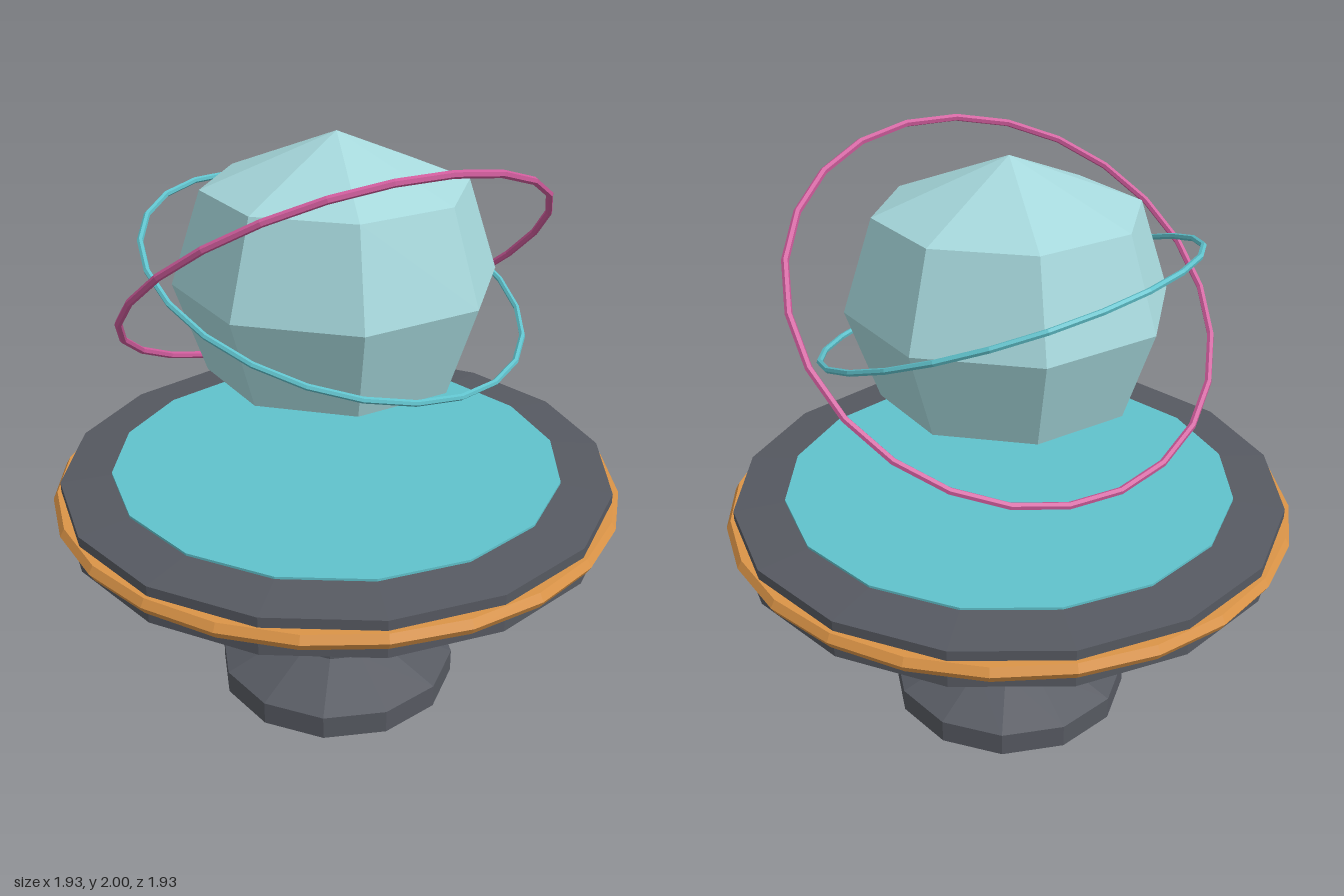
import * as THREE from 'three';

const mat = (name, color) => {
  const m = new THREE.MeshStandardMaterial({ color, flatShading: true });
  m.name = name;
  return m;
};

export function createModel() {
  const group = new THREE.Group();
  const darkMetal = mat('dark metal', 0x565961);
  const orange = mat('orange trim', 0xdb9447);
  const teal = mat('teal glow', 0x60c2cc);
  const paleTeal = mat('pale teal', 0xa6d8dc);
  const pink = mat('pink ring', 0xcf5c9c);

  const add = (name, geometry, material) => {
    const mesh = new THREE.Mesh(geometry, material);
    mesh.name = name;
    group.add(mesh);
    return mesh;
  };
  // Faceted solid of revolution; profile runs from bottom to top
  const lathe = (name, profile, sides, material) =>
    add(name, new THREE.LatheGeometry(profile.map(([r, y]) => new THREE.Vector2(r, y)), sides), material);
  const ring = (name, radius, tube, radial, y, rotX, rotY, material) => {
    const mesh = add(name, new THREE.TorusGeometry(radius, tube, radial, 24), material);
    mesh.position.y = y;
    mesh.rotation.set(rotX, rotY, 0);
  };

  // Foot and column
  lathe('pedestal', [[0, 0], [0.427, 0], [0.427, 0.085], [0.21, 0.172], [0.21, 0.65]], 12, darkMetal);

  // Table top with sloping underside
  lathe('tableTop', [[0, 0.64], [0.21, 0.64], [0.937, 0.727], [0.937, 0.855], [0.765, 0.871], [0, 0.871]], 16, darkMetal);
  lathe('tableInlay', [[0.765, 0.87], [0.765, 0.879], [0, 0.879]], 16, teal);
  ring('tableTrim', 0.935, 0.03, 6, 0.795, Math.PI / 2, 0, orange);

  // Floating faceted globe
  const centre = 1.535;
  lathe('globe', [[0, -0.465], [0.425, -0.298], [0.525, 0], [0.425, 0.298], [0, 0.465]]
    .map(([r, y]) => [r, y + centre]), 8, paleTeal);

  // Tilted orbit rings
  ring('innerOrbit', 0.632, 0.01, 6, centre, 1.92, 0, teal);
  ring('outerOrbit', 0.713, 0.012, 6, centre, 0.94, -0.29, pink);

  return group;
}
